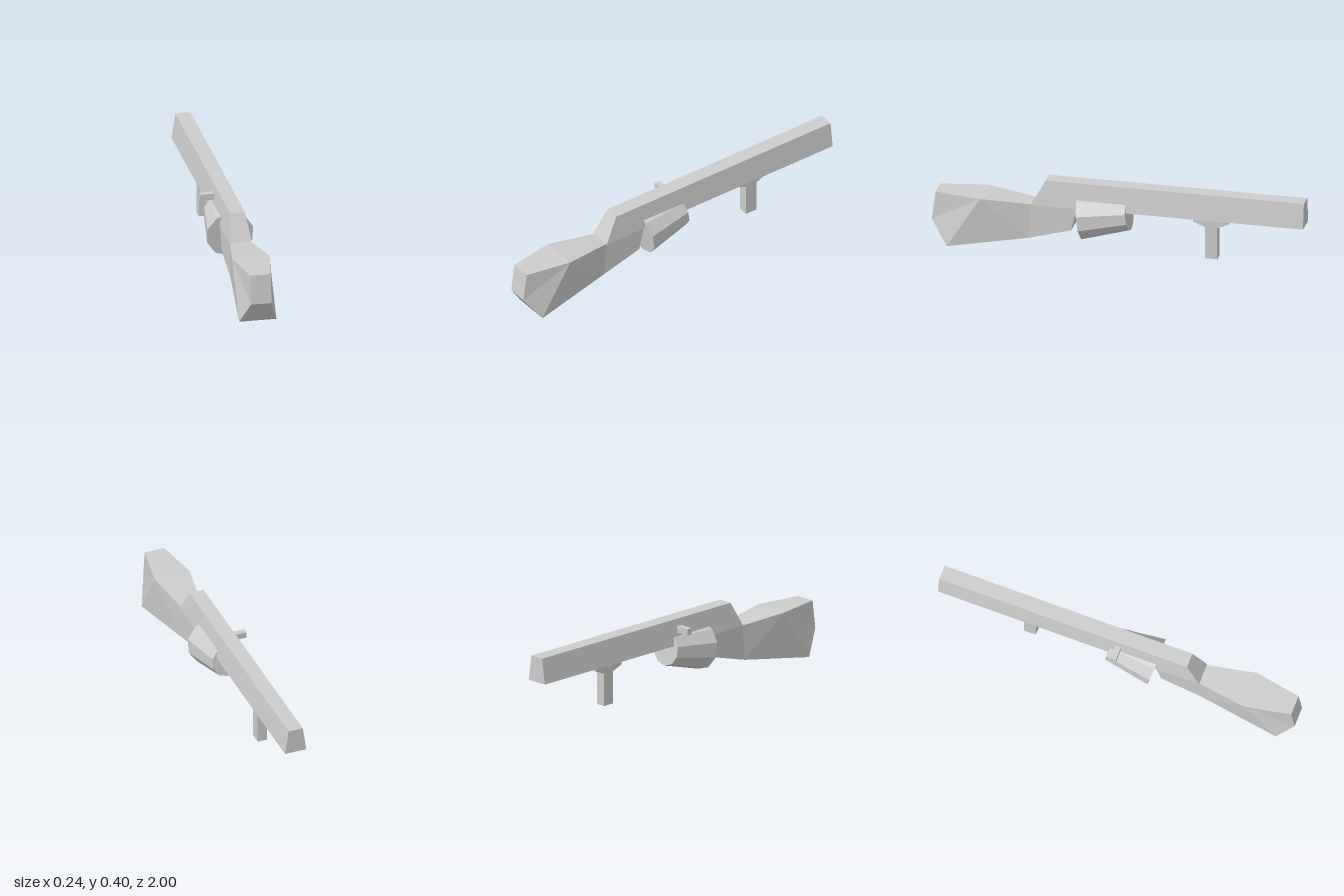
import * as THREE from 'three';

const grey = new THREE.MeshStandardMaterial({ color: 0xcccccc });
grey.name = 'light grey';
grey.flatShading = true;

// Solid with a side outline of [z, y, halfWidth] points, run along the top towards +z first.
// sideTris lists the triangles of the +x side; a fan is used when it is left out.
function sideSolid(points, sideTris, offsetX = 0) {
  const n = points.length;
  const tris = sideTris ?? Array.from({ length: n - 2 }, (_, i) => [0, i + 1, i + 2]);
  const positions = [];
  const add = (i, side) => {
    const [z, y, w] = points[i];
    positions.push(offsetX + side * w, y, z);
  };
  for (const [a, b, c] of tris) {
    add(a, 1); add(b, 1); add(c, 1);
    add(a, -1); add(c, -1); add(b, -1);
  }
  for (let i = 0; i < n; i++) {
    const j = (i + 1) % n;
    add(i, 1); add(i, -1); add(j, -1);
    add(i, 1); add(j, -1); add(j, 1);
  }
  const geometry = new THREE.BufferGeometry();
  geometry.setAttribute('position', new THREE.Float32BufferAttribute(positions, 3));
  geometry.computeVertexNormals();
  return geometry;
}

export function createModel() {
  const model = new THREE.Group();
  const part = (name, geometry) => {
    const mesh = new THREE.Mesh(geometry, grey);
    mesh.name = name;
    model.add(mesh);
    return mesh;
  };

  // Long body, narrower along the top, with a sloped end
  part('barrel', sideSolid([
    [-1, 0.4, 0.04], [0.39, 0.4, 0.04], [0.465, 0.262, 0.06], [-1, 0.262, 0.06],
  ], null, 0.001));

  // Faceted stock, flaring out and closing again at the butt
  part('stock', sideSolid([
    [0.22, 0.262, 0.055], [0.465, 0.262, 0.055], [0.73, 0.286, 0.1], [0.98, 0.286, 0.055],
    [1, 0.13, 0.055], [0.91, 0, 0.1], [0.48, 0.07, 0.055], [0.25, 0.135, 0.055],
  ], [[0, 1, 6], [0, 6, 7], [1, 2, 6], [2, 5, 6], [2, 3, 4], [2, 4, 5]]));

  // Tapered ten-sided drum, tilted under the body
  const drum = part('drum', new THREE.CylinderGeometry(0.128, 0.09, 0.257, 10).rotateX(Math.PI / 2));
  drum.rotation.x = 0.137;
  drum.position.set(0, 0.218, 0.078);

  // Side handle
  const handle = part('sideHandle', new THREE.BoxGeometry(0.1, 0.034, 0.032));
  handle.position.set(-0.072, 0.344, 0.006);

  // T-shaped front grip
  const w = 0.026;
  part('frontGrip', sideSolid([
    [-0.59, 0.264, w], [-0.4, 0.264, w], [-0.4, 0.235, w], [-0.463, 0.21, w],
    [-0.463, 0.033, w], [-0.53, 0.033, w], [-0.53, 0.21, w], [-0.59, 0.235, w],
  ], [[0, 1, 2], [0, 2, 3], [0, 3, 6], [0, 6, 7], [3, 4, 5], [3, 5, 6]]));

  return model;
}
